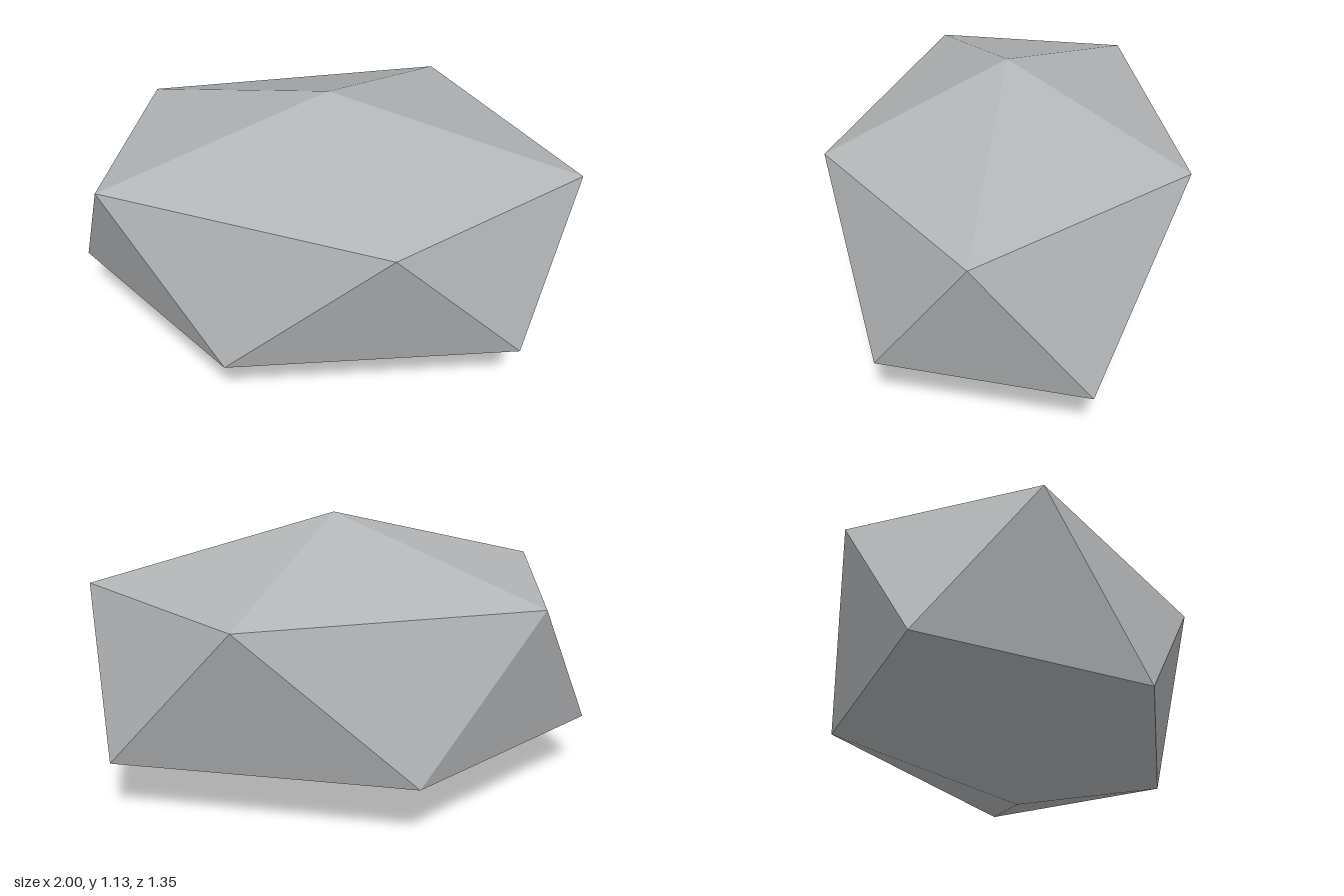
import * as THREE from 'three';

// Faceted boulder: two staggered five-point rings closed by a top and a bottom point
export function createModel() {
  const stone = new THREE.MeshStandardMaterial({ color: 0xb2b5b7 });
  stone.name = 'stone grey';

  const top = [0.03, 1.13, 0.03];
  const bottom = [0.03, 0, 0.03];
  const upper = [
    [1, 0.84, 0.03], [0.35, 0.855, 0.67], [-0.78, 0.855, 0.42],
    [-0.75, 0.86, -0.36], [0.38, 0.885, -0.675],
  ];
  const lower = [
    [0.82, 0.275, 0.41], [-0.275, 0.273, 0.655], [-1, 0.26, 0.03],
    [-0.285, 0.26, -0.62], [0.885, 0.25, -0.385],
  ];

  // Caps and the zigzag belt; corners are unshared so every facet stays flat
  const corners = [];
  for (let i = 0; i < 5; i++) {
    const j = (i + 1) % 5;
    corners.push(
      top, upper[j], upper[i],
      upper[i], upper[j], lower[i],
      lower[i], upper[j], lower[j],
      bottom, lower[i], lower[j],
    );
  }
  const geometry = new THREE.BufferGeometry();
  geometry.setAttribute('position', new THREE.Float32BufferAttribute(corners.flat(), 3));
  geometry.computeVertexNormals();

  const boulder = new THREE.Mesh(geometry, stone);
  boulder.name = 'boulder';
  const group = new THREE.Group();
  group.name = 'rock';
  group.add(boulder);
  return group;
}
